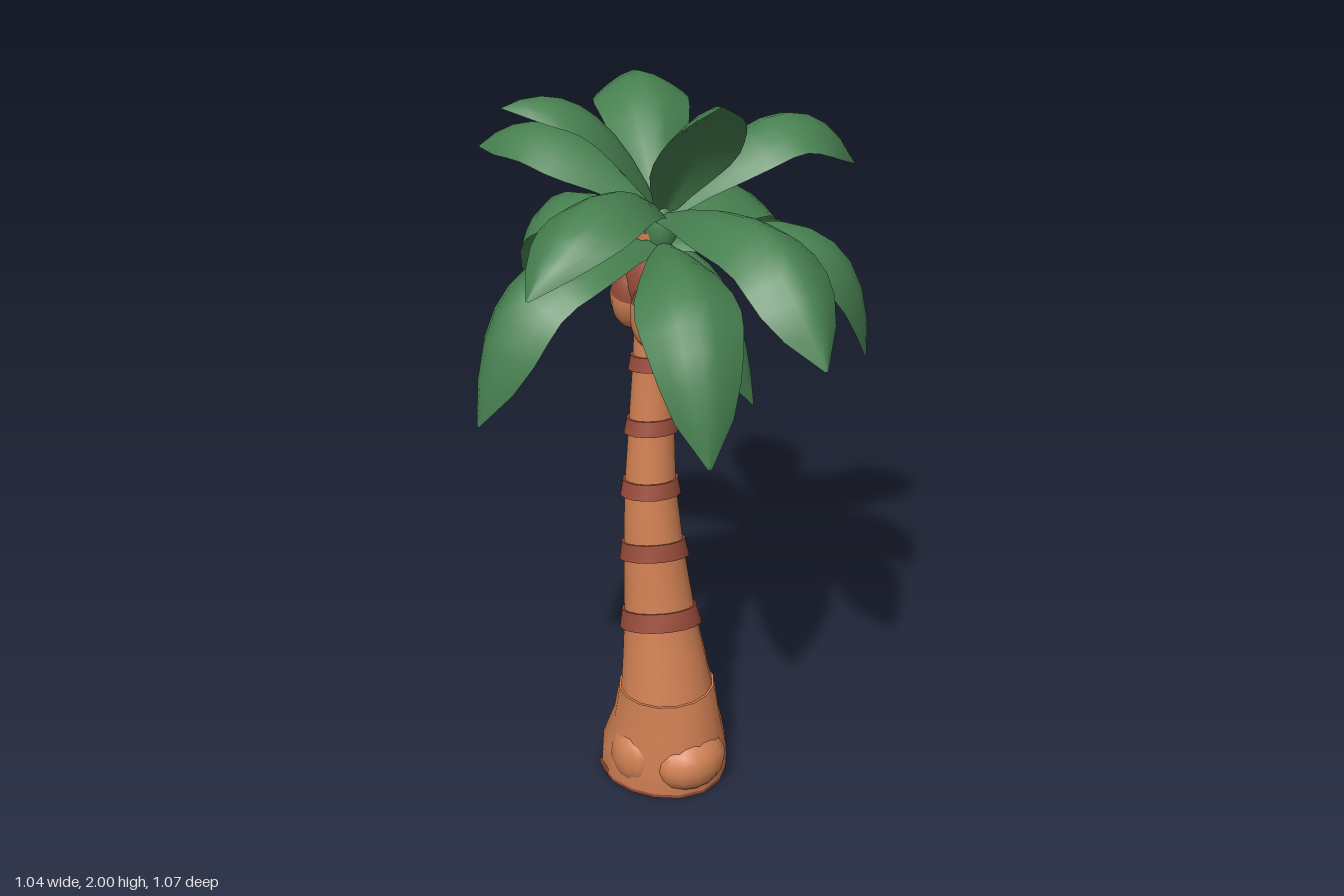
import * as THREE from 'three';
import { toCreasedNormals } from 'three/addons/utils/BufferGeometryUtils.js';

const V = (x, y, z) => new THREE.Vector3(x, y, z);

// Surface through a grid of points: rows run upward, columns to the right.
function skin(rows, crease) {
  const n = rows[0].length, index = [];
  for (let i = 0; i < rows.length - 1; i++) {
    for (let j = 0; j < n - 1; j++) {
      const a = i * n + j, b = a + 1, c = b + n, d = a + n;
      index.push(a, b, c, a, c, d);
    }
  }
  const g = new THREE.BufferGeometry().setFromPoints(rows.flat());
  g.setIndex(index);
  return toCreasedNormals(g, crease);
}

// Trunk stations: height, centre x, centre z, radius x, radius z
const STATIONS = [
  [0.00, 0.003, -0.075, 0.17, 0.174], [0.08, 0.002, -0.072, 0.167, 0.172],
  [0.18, -0.003, -0.055, 0.142, 0.147], [0.28, -0.008, -0.05, 0.123, 0.119],
  [0.48, -0.01, -0.077, 0.097, 0.09], [0.68, -0.018, -0.092, 0.08, 0.077],
  [0.86, -0.018, -0.106, 0.067, 0.066], [1.03, -0.006, -0.116, 0.06, 0.056],
  [1.20, 0.008, -0.123, 0.055, 0.052], [1.55, 0.008, -0.115, 0.045, 0.045],
];

function station(y) {
  let i = 0;
  while (i < STATIONS.length - 2 && y > STATIONS[i + 1][0]) i++;
  const [a, b] = [STATIONS[i], STATIONS[i + 1]];
  const t = (y - a[0]) / (b[0] - a[0]);
  return a.map((v, k) => v + (b[k] - v) * t);
}

// Tilted loft around the trunk axis; each row is [height, extra radius].
// An extra radius of -1 closes the loft at the axis.
function loft(rows, a0 = 0, a1 = Math.PI * 2, sides = 16) {
  return skin(rows.map(([y, extra]) => {
    const [, cx, cz, rx, rz] = station(y);
    const lobe = 0.03 * Math.max(0, 1 - y / 0.25);
    const tilt = THREE.MathUtils.smoothstep(y, 0.3, 0.45) * (y > 0.8 ? 0.6 : 1);
    return Array.from({ length: sides + 1 }, (_, j) => {
      const a = a0 + (a1 - a0) * j / sides, k = 1 + lobe * Math.cos(3 * a);
      const x = extra < 0 ? 0 : Math.sin(a) * (rx * k + extra);
      const z = extra < 0 ? 0 : Math.cos(a) * (rz * k + extra);
      return V(cx + x, y + tilt * (0.3 * z - 0.15 * x), cz + z);
    });
  }), 0.6);
}

// Broad arched leaf along a curve from root through mid to tip
const WIDTH = [0.2, 0.52, 0.78, 0.94, 1, 1, 0.96, 0.84, 0.58, 0.04];
function leaf(root, mid, tip, half, seed) {
  const ctrl = mid.clone().multiplyScalar(2).addScaledVector(root, -0.5).addScaledVector(tip, -0.5);
  const curve = new THREE.QuadraticBezierCurve3(root, ctrl, tip);
  const S = tip.clone().sub(root).cross(V(0, 1, 0)).normalize();
  const us = [-1, -0.7, -0.35, 0, 0.35, 0.7, 1];
  const rows = WIDTH.map((f, i) => {
    const t = i / (WIDTH.length - 1);
    const p = curve.getPoint(t);
    const N = S.clone().cross(curve.getTangent(t)).normalize();
    const w = half * f * (1 + 0.05 * Math.sin(9 * t + seed));
    const at = (u, under) => p.clone().addScaledVector(S, u * w)
      .addScaledVector(N, -0.55 * w * Math.abs(u) ** 1.5 - under * 0.22 * w * (1 - u * u));
    const ring = us.map(u => at(u, 0));
    us.slice(0, -1).reverse().forEach(u => ring.push(at(u, 1)));
    return ring;
  });
  return skin(rows, 0.8);
}

export function createModel() {
  const mat = (name, color) => Object.assign(new THREE.MeshStandardMaterial({ color }), { name });
  const bark = mat('bark', 0xd08053);
  const darkBark = mat('darkBark', 0x984c3a);
  const green = mat('leafGreen', 0x478050);
  green.side = THREE.DoubleSide;

  const model = new THREE.Group();
  const add = (name, geometry, material, parent = model) => {
    const m = new THREE.Mesh(geometry, material);
    m.name = name;
    parent.add(m);
    return m;
  };
  const ball = (name, material, radii, centre) => {
    const m = add(name, new THREE.SphereGeometry(1, 14, 10), material);
    m.scale.set(...radii);
    m.position.set(...centre);
  };

  // Flared foot with a dark rim and underside
  add('foot', loft([[0.01, 0], [0.05, 0.002], [0.08, 0], [0.18, 0], [0.28, 0.006], [0.288, -1]]), bark);
  add('footRim', loft([[0, -1], [0, 0], [0.01, 0]]), darkBark);
  add('rootKnob', new THREE.SphereGeometry(1, 14, 10), bark);
  model.children.at(-1).scale.set(0.105, 0.085, 0.085);
  model.children.at(-1).position.set(-0.003, 0.085, 0.045);
  ball('rootKnob', bark, [0.07, 0.09, 0.08], [-0.103, 0.09, -0.05]);
  ball('rootKnob', bark, [0.068, 0.09, 0.08], [0.106, 0.09, -0.08]);

  // Trunk and its raised rings
  add('trunk', loft([0.27, 0.38, 0.48, 0.58, 0.68, 0.77, 0.86, 0.95, 1.03, 1.2, 1.4, 1.55].map(y => [y, 0])), bark);
  for (const [y, h] of [[0.48, 0.026], [0.68, 0.024], [0.86, 0.021], [1.03, 0.02], [1.2, 0.019]]) {
    add('trunkRing', loft([[y - h, 0], [y - h, 0.011], [y + h, 0.006], [y + h, 0]]), darkBark);
  }
  // Dark bark patches: low edge of the foot, then up the back
  const patches = [
    [0.01, 0.035, 1.7, 4.6], [0.3, 0.45, 2.2, 2.6], [0.5, 0.67, 2.0, 2.6],
    [0.69, 0.85, 2.0, 3.1], [0.87, 1.02, 2.2, 2.6], [1.05, 1.19, 2.1, 2.5],
  ];
  for (const [y0, y1, a0, a1] of patches) {
    add('barkPatch', loft([[y0, 0.004], [(y0 + y1) / 2, 0.004], [y1, 0.004]], a0, a1, 8), darkBark);
  }

  // Coconuts with dark crowns around a dark husk
  ball('husk', darkBark, [0.072, 0.1, 0.09], [0, 1.42, -0.11]);
  const nuts = [[-0.043, 1.365, -0.055], [0.032, 1.36, -0.05], [0.04, 1.36, -0.152], [-0.035, 1.37, -0.155], [0.005, 1.45, -0.15]];
  nuts.forEach(([x, y, z], i) => {
    const nut = new THREE.Group();
    nut.name = 'coconut';
    add('shell', new THREE.SphereGeometry(1, 12, 8, 0, Math.PI * 2, Math.PI * 0.42, Math.PI * 0.58), bark, nut);
    add('crown', new THREE.SphereGeometry(1, 12, 4, 0, Math.PI * 2, 0, Math.PI * 0.42), darkBark, nut);
    nut.position.set(x, y, z);
    nut.scale.set(0.053, 0.087, 0.058);
    nut.rotation.set((z + 0.1) * -4, i, x * 4);
    model.add(nut);
  });

  // Leaves: mid point, tip, half width
  const upper = [
    [[0.30, 1.81, -0.02], [0.52, 1.65, 0.01], 0.122],
    [[0.12, 1.84, -0.32], [0.19, 1.76, -0.52], 0.115],
    [[-0.14, 1.79, -0.29], [-0.27, 1.72, -0.46], 0.12],
    [[-0.17, 1.885, -0.12], [-0.36, 1.91, -0.19], 0.095],
    [[-0.28, 1.76, 0.08], [-0.52, 1.60, 0.16], 0.11],
    [[-0.01, 1.86, 0.07], [-0.10, 2.00, 0.30], 0.1],
    [[0.03, 1.675, 0.32], [0.02, 1.43, 0.54], 0.122],
  ];
  const lower = [
    [[0.35, 1.55, -0.26], [0.455, 1.23, -0.35], 0.13],
    [[0.33, 1.545, 0.13], [0.45, 1.20, 0.17], 0.13],
    [[-0.14, 1.52, 0.255], [-0.19, 1.18, 0.39], 0.12],
    [[-0.37, 1.53, -0.09], [-0.515, 1.18, -0.10], 0.13],
    [[-0.08, 1.57, -0.41], [-0.10, 1.29, -0.53], 0.125],
    [[0.11, 1.42, 0.04], [0.16, 1.12, 0.09], 0.11],
  ];
  const grow = (list, name, root) => list.forEach(([mid, tip, half], i) =>
    add(name, leaf(V(...root), V(...mid), V(...tip), half, i * 2.1), green));
  grow(upper, 'upperLeaf', [0.01, 1.60, -0.09]);
  grow(lower, 'lowerLeaf', [0.01, 1.53, -0.09]);

  // Bud joining the leaves
  ball('bud', green, [0.04, 0.07, 0.04], [0.01, 1.56, -0.095]);

  return model;
}
